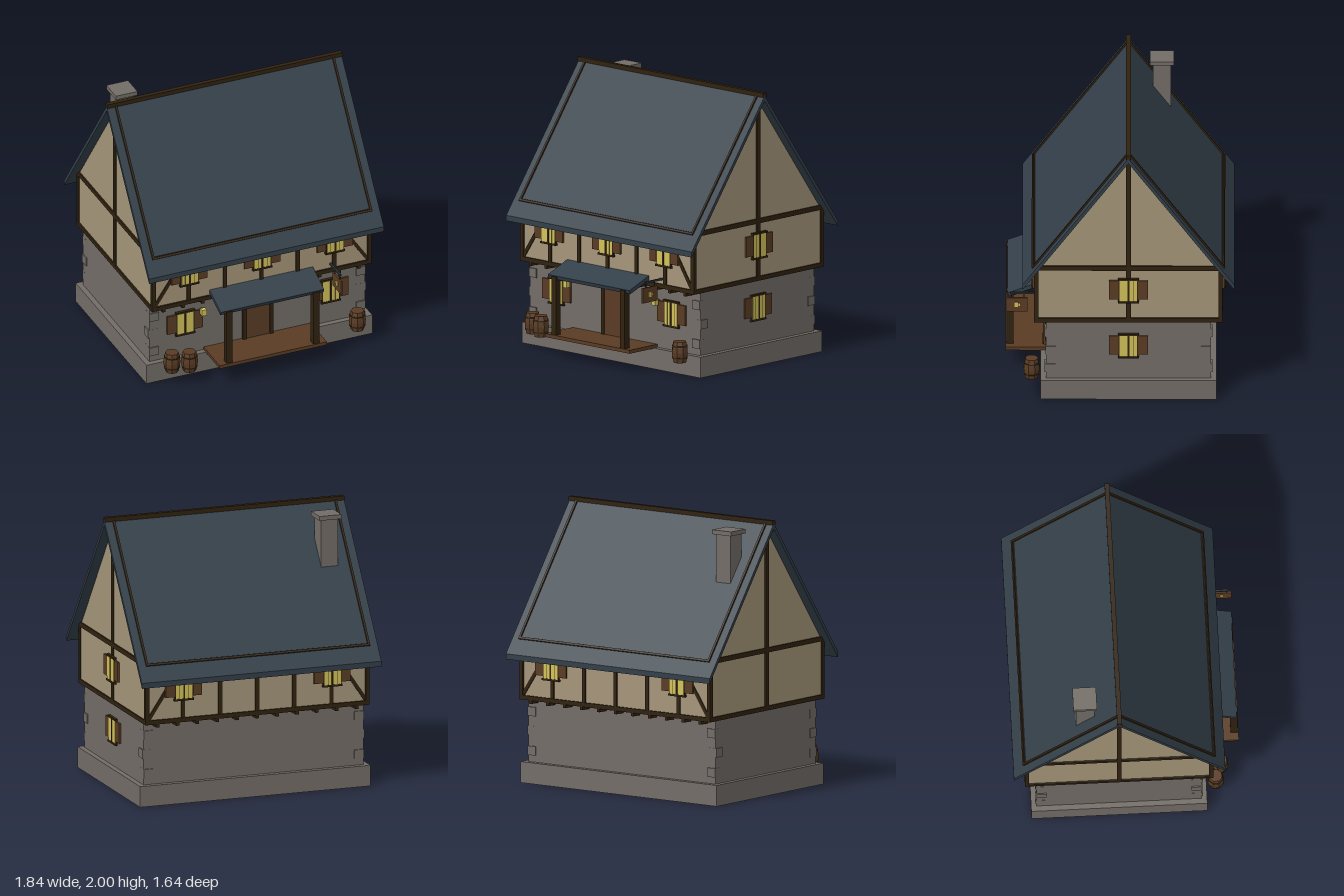
import * as THREE from 'three';

const mat = (name, color, extra = {}) => {
  const m = new THREE.MeshStandardMaterial({ color, ...extra });
  m.name = name;
  return m;
};

export function createModel() {
  const stone = mat('stone', 0x736d67);
  const plaster = mat('plaster', 0xa6967a);
  const timber = mat('dark timber', 0x302210);
  const wood = mat('brown wood', 0x5a3c24);
  const slate = mat('slate', 0x333f49);
  const glow = mat('lit glass', 0xd2c25a);
  const iron = mat('iron', 0x2c3639);
  const barrelWood = mat('barrel wood', 0x5a3c24, { flatShading: true });

  const house = new THREE.Group();
  house.name = 'house';
  const MID = -0.06; // z of the ridge

  const add = (name, geo, m, parent = house) => {
    const mesh = new THREE.Mesh(geo, m);
    mesh.name = name;
    parent.add(mesh);
    return mesh;
  };
  // box given by its size and centre
  const box = (name, m, [w, h, d], [x, y, z], parent = house) => {
    const b = add(name, new THREE.BoxGeometry(w, h, d), m, parent);
    b.position.set(x, y, z);
    return b;
  };
  // prism along x from a (z, y) outline
  const prism = (name, m, outline, length) => {
    const shape = new THREE.Shape(outline.map(([z, y]) => new THREE.Vector2(z, y)));
    const geo = new THREE.ExtrudeGeometry(shape, { depth: length, bevelEnabled: false });
    geo.translate(0, 0, -length / 2).rotateY(-Math.PI / 2);
    return add(name, geo, m);
  };
  const group = (name, x, y, z, ry = 0) => {
    const g = new THREE.Group();
    g.name = name;
    g.position.set(x, y, z);
    g.rotation.y = ry;
    house.add(g);
    return g;
  };

  // Stone base and ground floor
  box('plinth', stone, [1.77, 0.153, 1.265], [0, 0.0765, MID]);
  box('groundFloorWalls', stone, [1.69, 0.47, 1.185], [0, 0.385, MID]);
  for (const sx of [-1, 1]) for (const sz of [-1, 1]) {
    [0.235, 0.38, 0.52].forEach((y, i) => {
      const alongX = i !== 1;
      box('cornerStone', stone, alongX ? [0.072, 0.066, 0.08] : [0.08, 0.066, 0.072],
        [sx * (alongX ? 0.81 : 0.814), y, MID + sz * (alongX ? 0.562 : 0.5575)]);
    });
  }

  // Plastered upper floor with gables
  prism('upperWalls', plaster,
    [[0.605, 0.615], [0.605, 1.03], [MID, 1.935], [-0.725, 1.03], [-0.725, 0.615]], 1.7);

  // Timber frame
  for (const s of [-1, 1]) {
    const z = MID + s * 0.662;
    box('sillBeam', timber, [1.72, 0.032, 0.03], [0, 0.63, z]);
    box('topPlate', timber, [1.72, 0.035, 0.03], [0, 1.052, z]);
    for (const x of [-0.57, -0.285, 0, 0.285, 0.57]) {
      box('wallPost', timber, [0.03, 0.41, 0.024], [x, 0.84, z]);
    }
    for (const sx of [-1, 1]) {
      box('cornerPost', timber, [0.03, 0.44, 0.03], [sx * 0.846, 0.84, z]);
      const brace = box('brace', timber, [0.026, 0.47, 0.022], [sx * 0.705, 0.845, z]);
      brace.rotation.z = sx * 0.588;
    }
    for (let i = 0; i < 11; i++) {
      box('joistEnd', timber, [0.024, 0.026, 0.12], [(i - 5) * 0.153, 0.602, MID + s * 0.612]);
    }
    box('sideSill', timber, [0.03, 0.032, 1.35], [s * 0.846, 0.63, MID]);
    box('sideBeam', timber, [0.03, 0.035, 1.35], [s * 0.846, 1.052, MID]);
    box('gablePost', timber, [0.026, 1.28, 0.034], [s * 0.848, 1.27, MID]);
  }

  // Roof slab, ridge and trim battens
  const EAVE = 0.76, RISE = 1.03, TOP = 1.98, THICK = 0.04;
  const pitch = Math.atan2(RISE, EAVE);
  prism('roof', slate, [
    [MID + EAVE, TOP - RISE], [MID, TOP], [MID - EAVE, TOP - RISE],
    [MID - EAVE, TOP - RISE - THICK], [MID, TOP - THICK], [MID + EAVE, TOP - RISE - THICK],
  ], 1.84);
  box('ridgeBeam', timber, [1.84, 0.032, 0.034], [0, 1.984, MID]);
  for (const s of [-1, 1]) {
    const run = 0.68, drop = run * RISE / EAVE;
    for (const sx of [-1, 1]) {
      const b = box('roofBatten', timber, [0.016, 0.024, Math.hypot(run, drop)],
        [sx * 0.852, TOP - drop / 2, MID + s * run / 2]);
      b.rotation.x = s * pitch;
    }
    const low = box('lowerBatten', timber, [1.72, 0.024, 0.016], [0, TOP - drop, MID + s * run]);
    low.rotation.x = s * pitch;
  }

  // Chimney
  box('chimneyStack', stone, [0.13, 0.5, 0.132], [-0.695, 1.67, -0.3]);
  box('chimneyCap', stone, [0.17, 0.032, 0.17], [-0.695, 1.93, -0.3]);

  // Shuttered windows, built facing +z
  const makeWindow = (x, y, z, ry = 0) => {
    const g = group('window', x, y, z, ry);
    box('windowFrame', timber, [0.14, 0.19, 0.016], [0, 0, 0.006], g);
    for (const s of [-1, 1]) {
      box('pane', glow, [0.056, 0.168, 0.006], [s * 0.035, 0, 0.014], g);
      box('paneBar', wood, [0.003, 0.168, 0.004], [s * 0.035, 0, 0.0155], g);
      box('rail', timber, [0.15, 0.014, 0.024], [0, s * 0.091, 0.009], g);
      box('shutter', wood, [0.069, 0.148, 0.014], [s * 0.105, 0.006, 0.007], g);
    }
    box('mullion', timber, [0.013, 0.18, 0.02], [0, 0, 0.01], g);
  };
  const LOW = 0.42, HIGH = 0.875;
  for (const x of [-0.57, 0.57]) {
    makeWindow(x, LOW, 0.535);
    makeWindow(x, HIGH, -0.736, Math.PI);
  }
  for (const x of [-0.57, 0, 0.57]) makeWindow(x, HIGH, 0.614);
  makeWindow(0.845, LOW, MID, Math.PI / 2);
  makeWindow(0.857, HIGH, MID, Math.PI / 2);

  // Door
  box('door', wood, [0.185, 0.365, 0.016], [0, 0.343, 0.538]);
  for (const s of [-1, 1]) box('doorJamb', timber, [0.03, 0.38, 0.03], [s * 0.105, 0.345, 0.54]);
  box('doorLintel', timber, [0.255, 0.032, 0.036], [0, 0.54, 0.542]);
  box('doorStep', stone, [0.235, 0.022, 0.14], [0, 0.147, 0.6]);

  // Porch
  box('porchDeck', wood, [0.84, 0.026, 0.29], [0, 0.162, 0.677]);
  const porchTilt = 0.37;
  const porchRoof = box('porchRoof', slate, [0.81, 0.03, 0.22], [0, 0.634, 0.7]);
  porchRoof.rotation.x = porchTilt;
  for (const s of [-1, 1]) {
    box('porchPost', timber, [0.046, 0.435, 0.05], [s * 0.34, 0.385, 0.79]);
    const rafter = box('porchRafter', timber, [0.03, 0.028, 0.2], [s * 0.34, 0.61, 0.68]);
    rafter.rotation.x = porchTilt;
    // Wall lanterns beside the door
    box('lantern', glow, [0.036, 0.048, 0.036], [s * 0.44, 0.496, 0.577]);
    box('lanternBracket', iron, [0.012, 0.012, 0.03], [s * 0.44, 0.5, 0.547]);
  }

  // Hanging sign with a plain mug emblem
  box('signBracket', iron, [0.014, 0.014, 0.18], [0.54, 0.683, 0.7]);
  for (const z of [0.69, 0.78]) box('signHanger', iron, [0.006, 0.04, 0.006], [0.54, 0.66, z]);
  box('signBoard', wood, [0.014, 0.11, 0.15], [0.54, 0.59, 0.74]);
  for (const s of [-1, 1]) {
    box('mugBody', glow, [0.008, 0.036, 0.026], [0.54 + s * 0.01, 0.592, 0.745]);
    box('mugHandle', glow, [0.008, 0.018, 0.008], [0.54 + s * 0.01, 0.592, 0.724]);
  }

  // Barrels
  const profile = [[0, 0], [0.048, 0], [0.058, 0.045], [0.061, 0.077], [0.058, 0.109], [0.048, 0.154], [0, 0.154]]
    .map(([r, y]) => new THREE.Vector2(r, y));
  for (const [x, z] of [[-0.715, 0.64], [-0.595, 0.68], [0.74, 0.635]]) {
    const g = group('barrel', x, 0.106, z, Math.PI / 8);
    add('barrelBody', new THREE.LatheGeometry(profile, 8), barrelWood, g);
    for (const y of [0.035, 0.119]) {
      const hoop = add('barrelHoop', new THREE.CylinderGeometry(0.0585, 0.0585, 0.01, 8), timber, g);
      hoop.position.y = y;
    }
  }

  return house;
}
